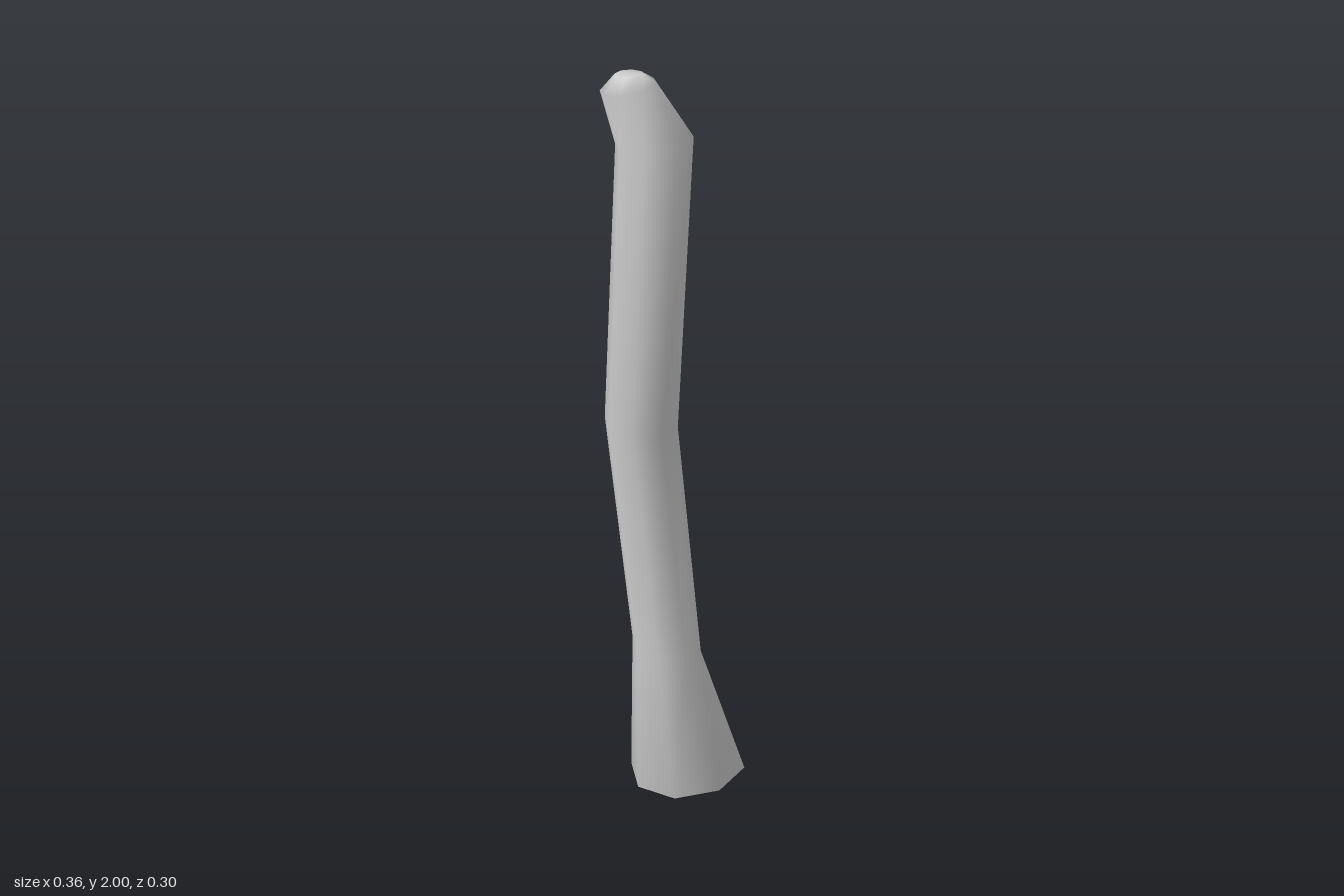
import * as THREE from 'three';

const SIDES = 8;

// Octagonal cross-sections, bottom to top: left x, left y, right x, right y, half depth
const SECTIONS = [
  [-0.02, 0.0, 0.08, 0.015, 0.045],   // underside of the foot
  [-0.115, 0.06, 0.178, 0.09, 0.15],  // widest part of the foot
  [-0.112, 0.47, 0.06, 0.45, 0.09],   // ankle
  [-0.178, 1.11, -0.002, 1.10, 0.09], // bend of the shaft
  [-0.143, 1.82, 0.036, 1.85, 0.092], // start of the tip
  [-0.18, 1.955, -0.05, 1.98, 0.066], // tip
  [-0.145, 1.997, -0.082, 2.0, 0.04], // top of the tip
];

// Joins tilted octagons into one closed smooth surface
function loft(sections) {
  const positions = [];
  const index = [];
  const k = 1 / Math.cos(Math.PI / SIDES); // flats, not corners, touch the given extents
  for (const [lx, ly, rx, ry, depth] of sections) {
    for (let i = 0; i < SIDES; i++) {
      const a = ((i + 0.5) / SIDES) * Math.PI * 2;
      const t = 0.5 + 0.5 * k * Math.cos(a);
      positions.push(lx + (rx - lx) * t, ly + (ry - ly) * t, depth * k * Math.sin(a));
    }
  }
  for (let j = 0; j < sections.length - 1; j++) {
    for (let i = 0; i < SIDES; i++) {
      const a = j * SIDES + i;
      const b = j * SIDES + ((i + 1) % SIDES);
      index.push(a, a + SIDES, b, b, a + SIDES, b + SIDES);
    }
  }
  // End caps
  const top = (sections.length - 1) * SIDES;
  for (let i = 1; i < SIDES - 1; i++) {
    index.push(0, i, i + 1);
    index.push(top, top + i + 1, top + i);
  }
  const geometry = new THREE.BufferGeometry();
  geometry.setAttribute('position', new THREE.Float32BufferAttribute(positions, 3));
  geometry.setIndex(index);
  geometry.computeVertexNormals();
  return geometry;
}

export function createModel() {
  const group = new THREE.Group();
  group.name = 'bentClub';
  const shaft = new THREE.Mesh(loft(SECTIONS), new THREE.MeshStandardMaterial({ color: 0xcccccc }));
  shaft.name = 'shaft';
  group.add(shaft);
  return group;
}
